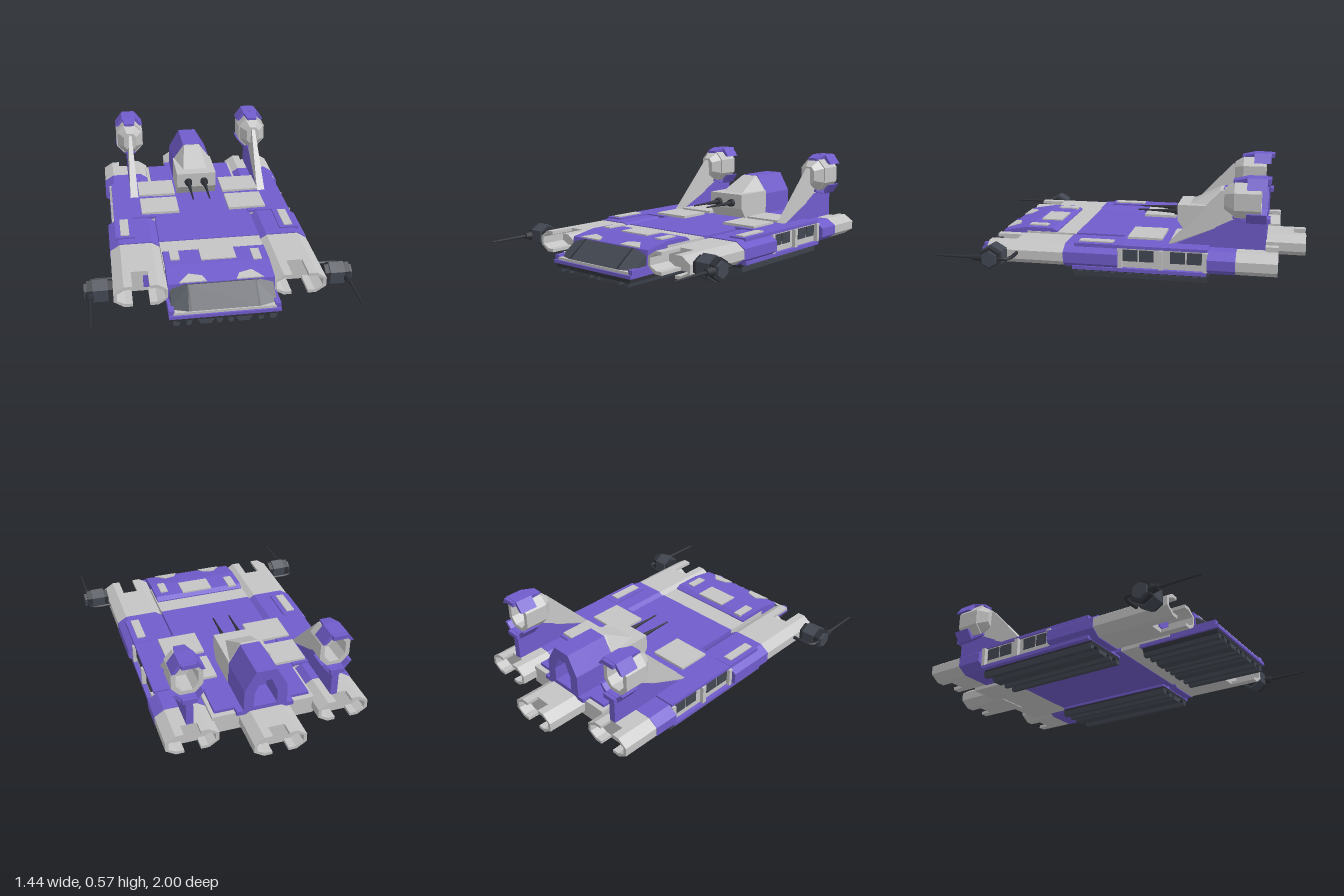
import * as THREE from 'three';
import { ConvexGeometry } from 'three/addons/geometries/ConvexGeometry.js';

const paint = (name, color) => Object.assign(new THREE.MeshStandardMaterial({ color }), { name });

export function createModel() {
  const root = new THREE.Group();
  root.name = 'heavyTransport';
  const purple = paint('purple', 0x705ccb);
  const gray = paint('light gray', 0xc4c4c4);
  const slate = paint('slate', 0x434852);
  const black = paint('gunmetal', 0x2e3138);

  const add = (name, geo, mat, parent = root) => {
    const m = new THREE.Mesh(geo, mat);
    m.name = name;
    parent.add(m);
    return m;
  };
  const toShape = pts => new THREE.Shape(pts.map(p => new THREE.Vector2(p[0], p[1])));
  // box given by its limits
  const box = (name, x0, x1, y0, y1, z0, z1, mat) => add(name,
    new THREE.BoxGeometry(x1 - x0, y1 - y0, z1 - z0)
      .translate((x0 + x1) / 2, (y0 + y1) / 2, (z0 + z1) / 2), mat);
  // cross-section in x,y swept along z
  const prism = (name, pts, z0, z1, mat, hole) => {
    const s = toShape(pts);
    if (hole) s.holes.push(new THREE.Path(hole.map(p => new THREE.Vector2(p[0], p[1]))));
    return add(name, new THREE.ExtrudeGeometry(s, { depth: z1 - z0, bevelEnabled: false }).translate(0, 0, z0), mat);
  };
  // side profile in z,y swept along x
  const slab = (name, pts, x0, x1, mat) => add(name,
    new THREE.ExtrudeGeometry(toShape(pts), { depth: x1 - x0, bevelEnabled: false })
      .rotateY(-Math.PI / 2).translate(x1, 0, 0), mat);
  const hull = (name, pts, mat) => add(name, new ConvexGeometry(pts.map(p => new THREE.Vector3(...p))), mat);
  const oct = (cx, cy, w, h, cw, ch) => [
    [cx - w + cw, cy - h], [cx + w - cw, cy - h], [cx + w, cy - h + ch], [cx + w, cy + h - ch],
    [cx + w - cw, cy + h], [cx - w + cw, cy + h], [cx - w, cy + h - ch], [cx - w, cy - h + ch]];

  // pair of open C-shaped prongs at the end of a pod
  const PY = 0.115, PH = 0.061, CW = 0.055, CH = 0.036;
  const prongs = (cx, w, z0, z1) => {
    const s = 0.045, t = 0.018;
    const c = [[s, PH], [w - CW, PH], [w, PH - CH], [w, CH - PH], [w - CW, -PH], [s, -PH],
      [s, t - PH], [w - CW - 0.006, t - PH], [w - t, CH - PH + 0.004], [w - t, PH - CH - 0.004],
      [w - CW - 0.006, PH - t], [s, PH - t]];
    for (const d of [-1, 1]) prism('podProng', c.map(([x, y]) => [cx + d * x, PY + y]), z0, z1, gray);
  };

  // centre hull
  box('frontHull', -0.29, 0.29, 0.058, 0.174, 0.3, 0.6, gray);
  box('middleHull', -0.29, 0.29, 0.056, 0.178, -0.48, 0.3, purple);
  box('rearHull', -0.29, 0.29, 0.058, 0.165, -0.76, -0.48, gray);
  box('rearDeck', -0.27, 0.27, 0.165, 0.182, -0.73, -0.48, purple);
  box('rearDeckLip', -0.16, 0.16, 0.16, 0.185, -0.78, -0.73, purple);
  prism('centreRearPod', oct(-0.003, PY, 0.145, PH, CW, CH), -0.93, -0.7, gray);
  prongs(-0.003, 0.145, -1, -0.93);

  for (const d of [-1, 1]) {
    const cx = d * 0.425, span = (a, b) => (d > 0 ? [a, b] : [-b, -a]);
    // long side pods in coloured sections
    prism('podFront', oct(cx, PY, 0.145, PH, CW, CH), 0.3, 0.6, gray);
    prongs(cx, 0.145, 0.6, 0.745);
    prism('podShoulder', oct(cx, PY, 0.147, 0.066, CW, CH), 0.005, 0.305, purple);
    prism('podBand', oct(cx, PY, 0.147, 0.063, CW, CH), -0.63, -0.48, purple);
    prism('podRear', oct(cx, PY, 0.145, PH, CW, CH), -0.78, -0.63, gray);
    prongs(cx, 0.145, -0.85, -0.78);

    // troop bay with windows
    box('bayWall', ...span(0.28, 0.525), 0.06, 0.172, -0.48, 0.01, gray);
    box('bayRoof', ...span(0.28, 0.535), 0.172, 0.188, -0.48, 0.01, purple);
    box('baySill', ...span(0.24, 0.55), 0.044, 0.064, -0.475, 0.26, purple);
    for (const z of [-0.02, -0.11, -0.28, -0.37])
      box('bayWindow', ...span(0.525, 0.53), 0.1, 0.164, z - 0.08, z, slate);
    for (const z of [-0.005, -0.23, -0.47])
      box('bayPost', ...span(0.525, 0.548), 0.064, 0.172, z - 0.012, z + 0.012, gray);

    // raised hatch on the shoulder
    box('hatchFrame', ...span(0.425, 0.535), 0.17, 0.19, 0, 0.25, purple);
    box('hatchPanel', ...span(0.455, 0.505), 0.19, 0.197, 0.04, 0.23, gray);

    // rear treads
    box('rearTread', ...span(0.25, 0.52), 0.022, 0.046, -0.475, 0.26, black);
    for (const [x, w] of [[0.262, 0.02], [0.33, 0.018], [0.41, 0.05], [0.508, 0.018]])
      prism('treadRidge', [[d * (x - w), 0.03], [d * (x + w), 0.03], [d * (x + w * 0.6), 0], [d * (x - w * 0.6), 0]],
        -0.475, 0.26, slate);

    // side gun: hexagonal drum, barrel and bracket pipe
    for (const [name, r, x0, x1, mat] of [['gunDrumInner', 0.055, 0.57, 0.6, black], ['gunDrum', 0.068, 0.595, 0.675, slate],
      ['gunDrumOuter', 0.062, 0.675, 0.705, black], ['gunCap', 0.045, 0.705, 0.72, slate]])
      add(name, new THREE.CylinderGeometry(r, r, x1 - x0, 6).toNonIndexed().rotateY(Math.PI / 2).rotateZ(Math.PI / 2)
        .translate(d * (x0 + x1) / 2, 0.125, 0.675), mat).geometry.computeVertexNormals();
    for (const [r0, r1, z0, z1] of [[0.024, 0.018, 0.72, 0.77], [0.009, 0.005, 0.77, 1]])
      add('sideGunBarrel', new THREE.CylinderGeometry(r1, r0, z1 - z0, 10).rotateX(Math.PI / 2)
        .translate(d * 0.69, 0.125, (z0 + z1) / 2), black);
    const pipe = new THREE.CatmullRomCurve3([[0.56, 0.57], [0.66, 0.57], [0.695, 0.585], [0.7, 0.64]]
      .map(([x, z]) => new THREE.Vector3(d * x, 0.125, z)));
    add('gunBracketPipe', new THREE.TubeGeometry(pipe, 12, 0.01, 8), black);

    // pylon: gray leading edge and purple root
    const fx = d > 0 ? 0.417 : -0.396;
    hull('pylonEdge', [[-0.025, 0.18, -0.25], [0.025, 0.18, -0.25], [-0.022, 0.19, -0.29], [0.022, 0.19, -0.29],
      [-0.011, 0.49, -0.54], [0.011, 0.49, -0.54], [-0.011, 0.49, -0.62], [0.011, 0.49, -0.62],
      [-0.018, 0.33, -0.62], [0.018, 0.33, -0.62]].map(([x, y, z]) => [x + fx, y, z]), gray);
    slab('pylonRoot', [[-0.27, 0.17], [-0.6, 0.335], [-0.78, 0.335], [-0.78, 0.17]], fx - 0.02, fx + 0.02, purple);

    // hollow engine pod with purple hood plates
    const ey = 0.447;
    prism('enginePod', oct(fx, ey, 0.085, 0.096, 0.045, 0.05), -0.75, -0.61, gray,
      oct(fx, ey, 0.06, 0.072, 0.032, 0.038));
    hull('engineNose', [...oct(fx, ey, 0.085, 0.096, 0.045, 0.05).map(p => [...p, -0.62]),
      ...oct(fx, ey, 0.04, 0.055, 0.02, 0.025).map(p => [...p, -0.555])], gray);
    for (const s of [-1, 1]) {
      const arc = [[-0.088, 0.065], [-0.045, 0.122], [0.045, 0.122], [0.088, 0.065],
        [0.07, 0.064], [0.04, 0.094], [-0.04, 0.094], [-0.07, 0.064]];
      prism('engineHood', arc.map(([x, y]) => [fx + x, ey + s * y]), -0.78, -0.675, purple);
      hull('engineHoodTip', [[-0.045, 0.122, -0.68], [0.045, 0.122, -0.68], [-0.03, 0.105, -0.6], [0.03, 0.105, -0.6],
        [-0.04, 0.09, -0.68], [0.04, 0.09, -0.68], [-0.03, 0.09, -0.6], [0.03, 0.09, -0.6]]
        .map(([x, y, z]) => [fx + x, ey + s * y, z]), purple);
      box('engineHoodFlap', fx - 0.04, fx + 0.04, ey + s * 0.108 - 0.012, ey + s * 0.108 + 0.012, -0.8, -0.78, purple);
    }
  }
  // purple panel inside the right pod mouth
  box('podMouthPanel', -0.405, -0.305, 0.078, 0.15, 0.6, 0.606, purple);

  // deck plates
  for (const [x0, x1] of [[-0.365, -0.138], [0.168, 0.395]])
    for (const [z0, z1] of [[-0.46, -0.265], [-0.215, -0.02]])
      box('deckPlate', x0, x1, 0.185, 0.2, z0, z1, gray);

  // front cabin
  slab('cabin', [[0.42, 0.05], [0.42, 0.18], [0.45, 0.197], [0.6, 0.197], [0.745, 0.172], [0.76, 0.05]], -0.285, 0.285, purple);
  hull('windshield', [-1, 1].flatMap(d => [[0.28 * d, 0.075, 0.72], [0.28 * d, 0.078, 0.835], [0.19 * d, 0.078, 0.865],
    [0.275 * d, 0.155, 0.735], [0.18 * d, 0.168, 0.752], [0.25 * d, 0.165, 0.72]]), slate);
  for (const x of [-0.18, 0.18])
    hull('windshieldFrame', [[x - 0.004, 0.171, 0.75], [x + 0.004, 0.171, 0.75], [x - 0.004, 0.082, 0.869],
      [x + 0.004, 0.082, 0.869], [x, 0.08, 0.84], [x, 0.16, 0.74]], black);
  box('bumper', -0.27, 0.27, 0.062, 0.078, 0.72, 0.872, gray);
  box('noseLip', -0.295, 0.295, 0.046, 0.064, 0.42, 0.882, purple);
  for (const x of [-0.28, 0.28]) box('noseCorner', x - 0.015, x + 0.015, 0.06, 0.09, 0.74, 0.87, purple);
  for (const [x0, x1, z0, z1] of [[-0.25, -0.2, 0.43, 0.55], [-0.085, 0.108, 0.445, 0.57], [0.198, 0.245, 0.49, 0.6]])
    box('cabinPlate', x0, x1, 0.192, 0.204, z0, z1, gray);
  for (const d of [-1, 1])
    hull('browPlate', [[0.08, 0.743], [0.225, 0.743], [0.17, 0.68], [0.1, 0.7]].flatMap(([x, z]) =>
      [0.001, 0.007].map(h => [d * x, 0.197 - (z - 0.6) * 0.172 + h, z])), gray);

  // front treads
  box('frontTread', -0.28, 0.28, 0.022, 0.048, 0.43, 0.872, black);
  for (const [x, w] of [[0.03, 0.018], [0.1, 0.045], [0.19, 0.018], [0.255, 0.022]])
    for (const d of [-1, 1])
      prism('frontTreadRidge', [[d * (x - w), 0.03], [d * (x + w), 0.03], [d * (x + w * 0.6), 0], [d * (x - w * 0.6), 0]],
        0.43, 0.872, slate);

  // central turret and tower
  slab('turretBody', [[-0.3, 0.18], [-0.26, 0.24], [-0.26, 0.33], [-0.52, 0.33], [-0.52, 0.18]], -0.123, 0.123, gray);
  hull('turretSlope', [-1, 1].flatMap(d => [[0.075 * d, 0.33, -0.33], [0.05 * d, 0.42, -0.5], [0.05 * d, 0.42, -0.52],
    [0.115 * d, 0.33, -0.52], [0.075 * d, 0.33, -0.52]]), gray);
  prism('tower', [[-0.123, 0.18], [0.123, 0.18], [0.12, 0.31], [0.055, 0.422], [-0.055, 0.422], [-0.12, 0.31]],
    -0.78, -0.52, purple, [[-0.065, 0.2], [0.065, 0.2], [0.065, 0.28], [0.03, 0.36], [-0.03, 0.36], [-0.065, 0.28]]);
  box('towerRecess', -0.07, 0.07, 0.19, 0.365, -0.62, -0.6, purple);
  for (const x of [-0.052, 0.048])
    for (const [r0, r1, z0, z1] of [[0.026, 0.022, -0.27, -0.235], [0.014, 0.007, -0.235, -0.13], [0.007, 0.004, -0.13, -0.015]])
      add('turretBarrel', new THREE.CylinderGeometry(r1, r0, z1 - z0, 10).rotateX(Math.PI / 2)
        .translate(x, 0.275, (z0 + z1) / 2), black);
  return root;
}
